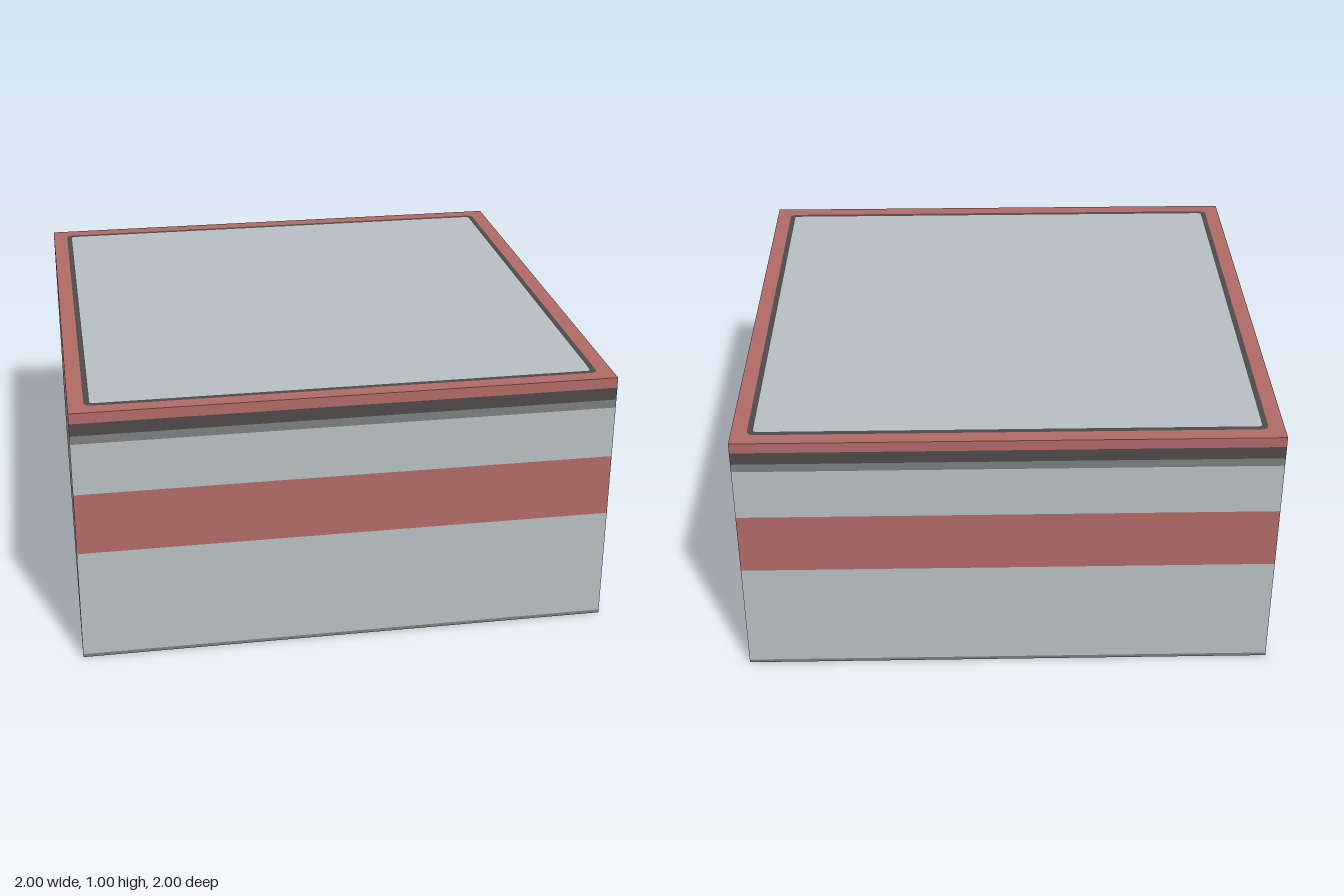
import * as THREE from 'three';

const paint = (name, color) => {
  const m = new THREE.MeshStandardMaterial({ color, side: THREE.DoubleSide });
  m.name = name;
  return m;
};

export function createModel() {
  const red = paint('brick red', 0xb16a66);
  const light = paint('pale grey', 0xb7bfc2);
  const mid = paint('mid grey', 0x7b7e80);
  const dark = paint('charcoal', 0x504a4a);

  const model = new THREE.Group();
  model.name = 'building';

  const addShape = (parent, name, shape, mat) => {
    const mesh = new THREE.Mesh(new THREE.ShapeGeometry(shape, 6), mat);
    mesh.name = name;
    parent.add(mesh);
    return mesh;
  };

  // Flat strip between two heights; its sides may be numbers or functions of y
  const strip = (parent, name, mat, y0, y1, left, right) => {
    const curved = typeof left === 'function' || typeof right === 'function';
    const n = curved ? 20 : 1;
    const at = (side, y) => (typeof side === 'function' ? side(y) : side);
    const pos = [], index = [];
    for (let i = 0; i <= n; i++) {
      // Samples bunch towards the ends so that the round tips stay smooth
      const y = y0 + (y1 - y0) * (1 - Math.cos((Math.PI * i) / n)) / 2;
      pos.push(at(left, y), y, 0, at(right, y), y, 0);
      if (i < n) {
        const a = i * 2;
        index.push(a, a + 1, a + 3, a, a + 3, a + 2);
      }
    }
    const geo = new THREE.BufferGeometry();
    geo.setAttribute('position', new THREE.Float32BufferAttribute(pos, 3));
    geo.setIndex(index);
    geo.computeVertexNormals();
    const mesh = new THREE.Mesh(geo, mat);
    mesh.name = name;
    parent.add(mesh);
  };

  const roundRect = (x0, y0, x1, y1, r, Type = THREE.Shape) => {
    const s = new Type();
    s.moveTo(x0 + r, y0);
    s.lineTo(x1 - r, y0);
    s.quadraticCurveTo(x1, y0, x1, y0 + r);
    s.lineTo(x1, y1 - r);
    s.quadraticCurveTo(x1, y1, x1 - r, y1);
    s.lineTo(x0 + r, y1);
    s.quadraticCurveTo(x0, y1, x0, y1 - r);
    s.lineTo(x0, y0 + r);
    s.quadraticCurveTo(x0, y0, x0 + r, y0);
    return s;
  };

  // Height levels shared by all walls
  const BASE = 0.013, BAND0 = 0.44, BAND1 = 0.68, LEDGE = 0.88, TRIM0 = 0.912, TRIM1 = 0.96;

  const makeWall = (name, angle) => {
    const wall = new THREE.Group();
    wall.name = name;
    wall.rotation.y = angle;
    wall.position.set(Math.sin(angle), 0, Math.cos(angle));
    model.add(wall);
    strip(wall, 'band', red, BAND0, BAND1, -1, 1);
    strip(wall, 'corniceShadow', dark, TRIM0, TRIM1, -1, 1);
    strip(wall, 'cornice', red, TRIM1, 1, -1, 1);
    return wall;
  };

  // Three plain walls
  [['frontWall', 0], ['backWall', Math.PI], ['rightWall', -Math.PI / 2]].forEach(([name, a]) => {
    const w = makeWall(name, a);
    strip(w, 'baseLine', mid, 0, BASE, -1, 1);
    strip(w, 'lowerWall', light, BASE, BAND0, -1, 1);
    strip(w, 'upperWall', light, BAND1, LEDGE, -1, 1);
    strip(w, 'ledge', mid, LEDGE, TRIM0, -1, 1);
  });

  // Entrance wall: a round medallion on the band, and a door
  const e = makeWall('entranceWall', Math.PI / 2);
  const cx = 0.435, cy = 0.56, rx = 0.305, ry = 0.34;
  const D0 = 0.507, D1 = 0.837;
  const half = (y) => rx * Math.sqrt(Math.max(0, 1 - ((y - cy) / ry) ** 2));
  const discL = (y) => cx - half(y);
  const discR = (y) => cx + half(y);
  const discDoor = (y) => Math.min(cx + half(y), D0);

  strip(e, 'baseLine', mid, 0, BASE, -1, D0);
  strip(e, 'baseLine', mid, 0, BASE, D1, 1);
  strip(e, 'lowerWall', light, BASE, cy - ry, -1, D0);
  strip(e, 'lowerWall', light, BASE, BAND0, D1, 1);
  strip(e, 'lowerWall', light, cy - ry, BAND0, -1, discL);
  strip(e, 'medallionBottom', red, cy - ry, BAND0, discL, discDoor);
  strip(e, 'lowerWall', light, cy - ry, BAND0, discDoor, D0);
  [['upperWall', light, BAND1, LEDGE], ['ledge', mid, LEDGE, cy + ry]].forEach(([name, mat, y0, y1]) => {
    strip(e, name, mat, y0, y1, -1, discL);
    strip(e, 'medallionTop', red, y0, y1, discL, discR);
    strip(e, name, mat, y0, y1, discR, 1);
  });
  strip(e, 'ledge', mid, cy + ry, TRIM0, -1, 1);

  // Door with two panels and a small window
  const door = new THREE.Shape();
  door.moveTo(D0, 0).lineTo(D1, 0).lineTo(D1, BAND0).lineTo(D0, BAND0).closePath();
  const insets = [
    ['doorPanel', mid, 0.567, 0.097, 0.652, 0.268, 0.02],
    ['doorPanel', mid, 0.695, 0.097, 0.781, 0.268, 0.02],
    ['doorWindowLower', light, 0.716, 0.28, 0.754, 0.33, 0.008],
    ['doorWindowUpper', mid, 0.716, 0.333, 0.754, 0.38, 0.008],
  ];
  insets.forEach(([name, mat, ...r]) => {
    door.holes.push(roundRect(...r, THREE.Path));
    addShape(e, name, roundRect(...r), mat);
  });
  addShape(e, 'door', door, dark);

  // Flat roof: parapet, dark gutter line and roof panel
  const roof = new THREE.Group();
  roof.name = 'roof';
  roof.rotation.x = -Math.PI / 2;
  roof.position.y = 1;
  model.add(roof);
  const square = (s, r, Type) => roundRect(-s, -s, s, s, r, Type);
  const parapet = square(1, 0);
  parapet.holes.push(square(0.942, 0.03, THREE.Path));
  addShape(roof, 'parapet', parapet, red);
  const gutter = square(0.942, 0.03);
  gutter.holes.push(square(0.921, 0.015, THREE.Path));
  addShape(roof, 'gutter', gutter, dark);
  addShape(roof, 'roofPanel', square(0.921, 0.015), light);

  return model;
}
